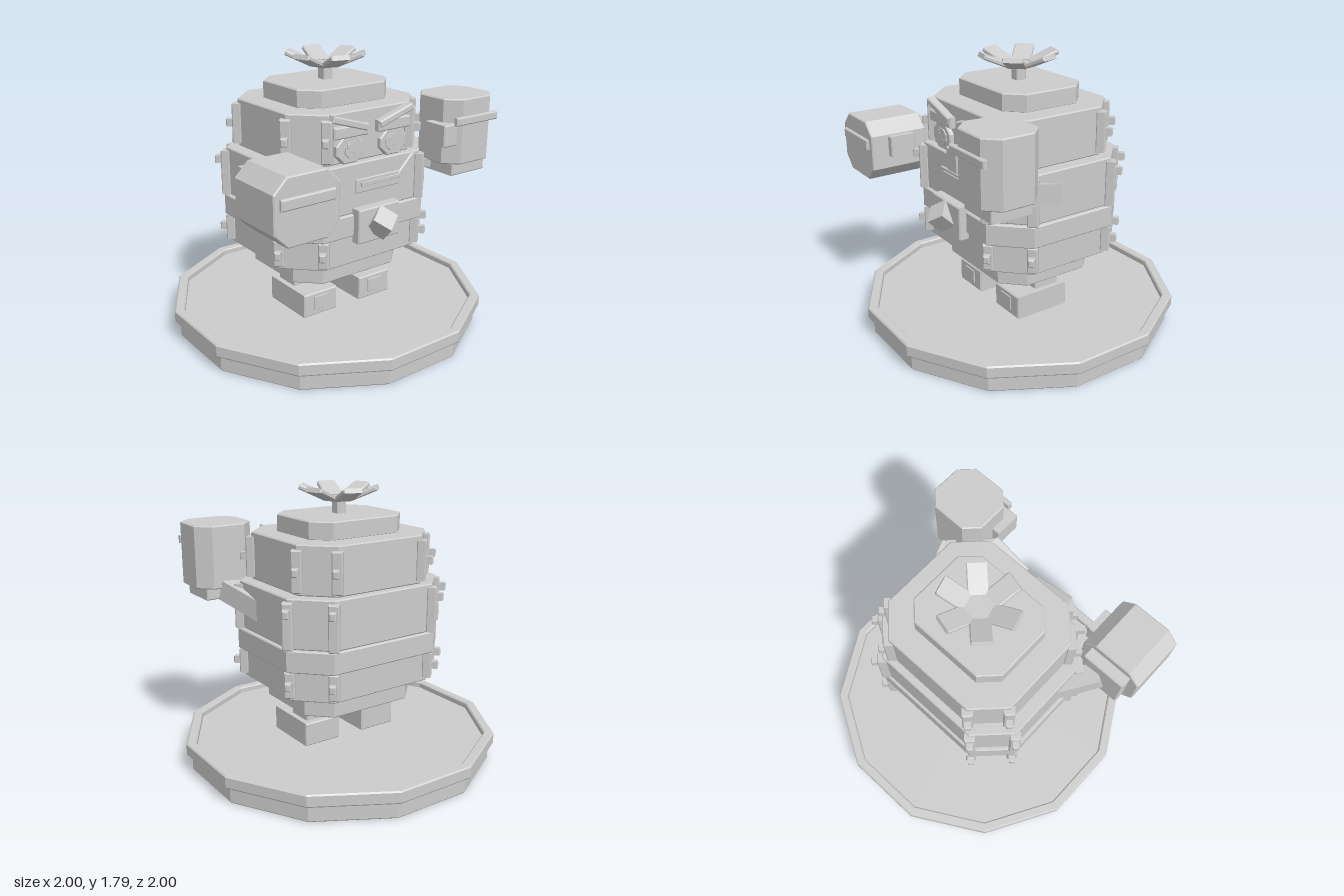
import * as THREE from 'three';

const grey = new THREE.MeshStandardMaterial({ color: 0xcccccc, flatShading: true });
grey.name = 'stone grey';

// Prism along z with cut corners (c) and a small bevel (b), centred on the origin
function prism(w, h, d, c = 0, b = 0.007) {
  const x = w / 2 - b, y = h / 2 - b;
  const pts = c
    ? [[x - c, -y], [x, -y + c], [x, y - c], [x - c, y], [-x + c, y], [-x, y - c], [-x, -y + c], [-x + c, -y]]
    : [[x, -y], [x, y], [-x, y], [-x, -y]];
  const shape = new THREE.Shape(pts.map(p => new THREE.Vector2(...p)));
  const geo = new THREE.ExtrudeGeometry(shape, {
    depth: d - 2 * b, bevelEnabled: true, bevelSize: b, bevelThickness: b, bevelSegments: 1, steps: 1,
  });
  return geo.translate(0, 0, -(d - 2 * b) / 2);
}

export function createModel() {
  const model = new THREE.Group();
  model.name = 'rootRobot';

  function add(name, geo, x = 0, y = 0, z = 0, parent = model) {
    const mesh = new THREE.Mesh(geo, grey);
    mesh.name = name;
    mesh.position.set(x, y, z);
    parent.add(mesh);
    return mesh;
  }
  // Bevelled box given by its limits on each axis
  const block = (name, [x0, x1], [y0, y1], [z0, z1]) =>
    add(name, prism(x1 - x0, y1 - y0, z1 - z0, 0, Math.min(0.007, (z1 - z0) / 5)),
      (x0 + x1) / 2, (y0 + y1) / 2, (z0 + z1) / 2);
  // Box stretched between two points
  function beam(name, a, b, w, h) {
    const from = new THREE.Vector3(...a), to = new THREE.Vector3(...b);
    const mesh = add(name, prism(w, h, from.distanceTo(to)));
    mesh.position.copy(from).add(to).multiplyScalar(0.5);
    mesh.lookAt(to);
  }

  // Twelve-sided stand with raised rim
  const profile = [[0, 0], [0.96, 0], [0.967, 0.008], [0.967, 0.11], [0.995, 0.11], [1, 0.118], [1, 0.182],
    [0.992, 0.19], [0.945, 0.19], [0.937, 0.182], [0.937, 0.15], [0, 0.15]]
    .map(([r, y]) => new THREE.Vector2(r / Math.cos(Math.PI / 12), y));
  add('stand', new THREE.LatheGeometry(profile, 12, Math.PI / 12));

  // Body tiers: half width, half depth, bottom, top, corner cut, strap height range, stud height
  const tiers = [
    { name: 'skirt', w: 0.415, d: 0.355, y: [0.41, 0.56], c: 0.13 },
    { name: 'lowerBody', w: 0.55, d: 0.47, y: [0.56, 0.75], c: 0.19, strap: [0.585, 0.75], stud: 0.67 },
    { name: 'belt', w: 0.585, d: 0.5, y: [0.75, 0.89], c: 0.2 },
    { name: 'middleBody', w: 0.565, d: 0.485, y: [0.89, 1.2], c: 0.195, strap: [0.89, 1.18], stud: 1.12 },
    { name: 'head', w: 0.485, d: 0.44, y: [1.2, 1.505], c: 0.17, strap: [1.22, 1.475], stud: 1.35 },
    { name: 'cap', w: 0.345, d: 0.287, y: [1.5, 1.615], c: 0.1 },
  ];
  for (const t of tiers) {
    const h = t.y[1] - t.y[0];
    add(t.name, prism(2 * t.w, 2 * t.d, h, t.c).rotateX(-Math.PI / 2), 0, t.y[0] + h / 2, 0);
    if (!t.strap) continue;
    // Straps and studs on both edges of every cut corner
    const sh = t.strap[1] - t.strap[0];
    for (const sx of [1, -1]) for (const sz of [1, -1]) {
      for (const [ex, ez] of [[t.w - t.c, t.d], [t.w, t.d - t.c]]) {
        const angle = Math.atan2(sx, sz);
        const strap = add('cornerStrap', prism(0.065, sh, 0.06), sx * ex, (t.strap[0] + t.strap[1]) / 2, sz * ez);
        strap.rotation.y = angle;
        const stud = add('strapStud', prism(0.04, 0.05, 0.06), sx * (ex + 0.03), t.stud, sz * (ez + 0.03));
        stud.rotation.y = angle;
      }
    }
  }

  // Sprout on top
  add('stem', prism(0.07, 0.1, 0.07), 0, 1.655, 0);
  add('flowerCentre', new THREE.CylinderGeometry(0.1, 0.06, 0.025, 6), 0, 1.705, 0);
  for (let i = 0; i < 6; i++) {
    const petal = new THREE.Group();
    petal.name = 'petal';
    petal.rotation.y = THREE.MathUtils.degToRad(16 + 60 * i);
    model.add(petal);
    add('petalBlade', prism(0.18, 0.03, 0.125), 0.16, 1.743, 0, petal).rotation.z = 0.4;
  }

  // Legs, feet, eyes and brows
  for (const s of [1, -1]) {
    const span = (a, b) => (s > 0 ? [a, b] : [-b, -a]);
    block('leg', span(0.13, 0.315), [0.28, 0.43], [-0.09, 0.09]);
    block('foot', span(0.093, 0.35), [0.15, 0.305], [-0.135, 0.25]);
    block('toePlate', span(0.165, 0.275), [0.19, 0.28], [0.25, 0.259]);
    add('eye', prism(0.205, 0.165, 0.04, 0.05), s * 0.165, 1.285, 0.45);
    add('pupil', prism(0.11, 0.1, 0.008, 0.03, 0.001), s * 0.155, 1.285, 0.473);
    add('eyeGlint', prism(0.025, 0.025, 0.006, 0, 0.001), s * 0.155 - 0.03, 1.31, 0.478);
    add('eyeGlintSmall', prism(0.012, 0.012, 0.006, 0, 0.001), s * 0.155 + 0.01, 1.265, 0.478);
    block('eyelid', span(0.04, 0.29), [1.36, 1.43], [0.42, 0.48]);
    add('brow', prism(0.27, 0.042, 0.07), s * 0.175, 1.445, 0.455).rotation.z = s * 0.3;
  }

  // Crooked mouth
  block('mouth', [-0.14, 0.2], [1.015, 1.1], [0.475, 0.497]);
  block('mouthLine', [-0.105, 0.19], [1.055, 1.08], [0.495, 0.504]);
  add('smirk', prism(0.18, 0.035, 0.03), 0.25, 1.125, 0.485).rotation.z = 0.78;

  // Chest plate with tilted cube
  block('chestPlate', [-0.16, 0.16], [0.71, 0.925], [0.48, 0.55]);
  add('chestGem', prism(0.125, 0.125, 0.125, 0, 0.002), 0, 0.825, 0.57).rotation.set(0.72, 0.7, 0.1);

  // Right arm, fist pointing forward
  beam('rightArm', [-0.46, 1.03, 0.06], [-0.68, 1.13, 0.36], 0.13, 0.13);
  block('rightCuff', [-0.85, -0.555], [1.0, 1.28], [0.335, 0.42]);
  add('rightFist', prism(0.425, 0.39, 0.385, 0.08), -0.703, 1.135, 0.603);
  block('rightKnuckleBar', [-0.88, -0.53], [1.155, 1.22], [0.78, 0.815]);
  block('rightThumb', [-0.53, -0.445], [1.1, 1.24], [0.51, 0.68]);

  // Left arm, fist raised
  beam('leftArm', [0.48, 1.02, 0.03], [0.6, 1.13, 0.4], 0.13, 0.13);
  block('leftCuff', [0.455, 0.735], [1.06, 1.16], [0.415, 0.69]);
  add('leftFist', prism(0.395, 0.37, 0.405, 0.08).rotateX(-Math.PI / 2), 0.593, 1.342, 0.548);
  block('leftKnuckleBar', [0.415, 0.765], [1.39, 1.44], [0.72, 0.753]);
  block('leftThumb', [0.34, 0.45], [1.265, 1.4], [0.55, 0.725]);

  return model;
}
